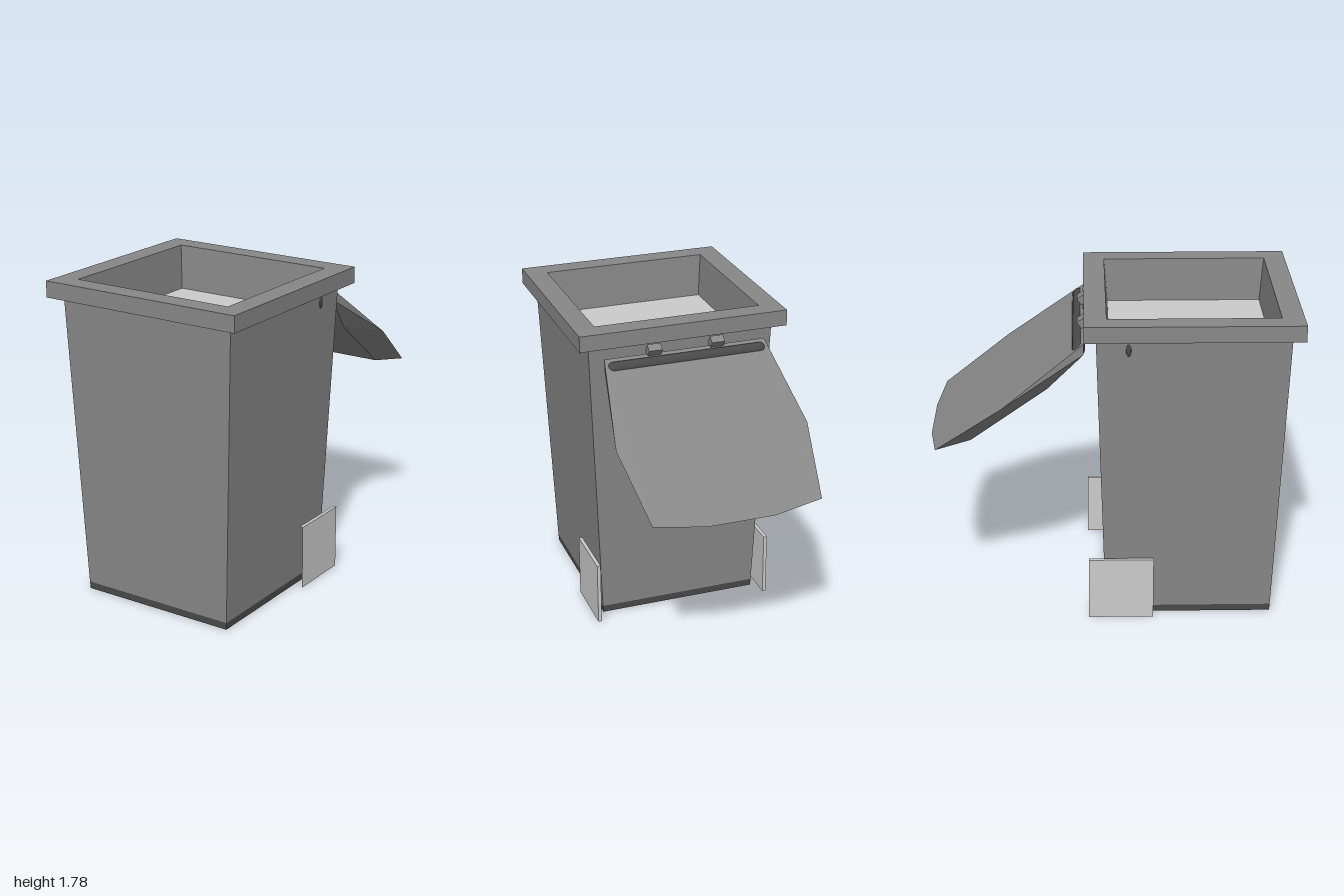
import * as THREE from 'three';
import { ConvexGeometry } from 'three/addons/geometries/ConvexGeometry.js';

const CENTRE_Z = 0.423;

// Rectangular shell: each ring is [half width, half depth, y].
function shell(rings) {
  const pos = [];
  const corner = ([hx, hz, y], k) => [
    k === 0 || k === 1 ? hx : -hx, y, CENTRE_Z + (k === 0 || k === 3 ? hz : -hz),
  ];
  for (let i = 0; i < rings.length - 1; i++) {
    for (let k = 0; k < 4; k++) {
      const n = (k + 1) % 4;
      const a = corner(rings[i], k), b = corner(rings[i], n);
      const c = corner(rings[i + 1], n), d = corner(rings[i + 1], k);
      pos.push(...a, ...b, ...c, ...a, ...c, ...d);
    }
  }
  const g = new THREE.BufferGeometry();
  g.setAttribute('position', new THREE.Float32BufferAttribute(pos, 3));
  g.computeVertexNormals();
  return g;
}

export function createModel() {
  const model = new THREE.Group();
  model.name = 'wheeledBin';
  const material = (name, color, side = THREE.FrontSide) => {
    const m = new THREE.MeshStandardMaterial({ color, side });
    m.name = name;
    return m;
  };
  const grey = material('midGrey', 0x888888);
  const dark = material('darkGrey', 0x4a4a4a);
  const light = material('lightGrey', 0xcccccc, THREE.FrontSide);
  const add = (name, geometry, mat, x = 0, y = 0, z = 0) => {
    const mesh = new THREE.Mesh(geometry, mat);
    mesh.name = name;
    mesh.position.set(x, y, z);
    model.add(mesh);
    return mesh;
  };

  // Tapered body, hollow underneath
  add('bodyWalls', shell([[0.462, 0.464, 0.04], [0.53, 0.515, 1.69]]), grey);
  add('bodyUnderside', shell([[0.48, 0.47, 1.52], [0.42, 0.422, 0.04]]), grey);
  add('baseStrip', shell([
    [0.42, 0.422, 0.04], [0.418, 0.42, 0], [0.46, 0.4625, 0], [0.462, 0.464, 0.04],
  ]), dark);

  // Rim with the shallow inner well and its pale floor
  add('rim', shell([
    [0.52, 0.505, 1.686], [0.595, 0.577, 1.686], [0.595, 0.577, 1.776],
    [0.475, 0.458, 1.776], [0.457, 0.438, 1.53],
  ]), grey);
  add('wellFloor', new THREE.BoxGeometry(0.95, 0.01, 0.92), light, 0, 1.525, CENTRE_Z);

  // Open lid hanging behind: flat inside face on top, shallow dome below
  const lidPoints = [];
  const half = [
    [0.46, 1.63, -0.155], [0.54, 1.297, -0.59], [0.47, 1.026, -0.96], [0.19, 0.997, -1.0],
    [0.46, 1.57, -0.155], [0.42, 1.36, -0.35], [0.395, 1.05, -0.77],
  ];
  for (const [x, y, z] of half) {
    lidPoints.push(new THREE.Vector3(x, y, z), new THREE.Vector3(-x, y, z));
  }
  add('lid', new ConvexGeometry(lidPoints), grey);

  // Dark handle bar sunk into the lid's hinge edge
  const bar = add('handleBar', new THREE.CapsuleGeometry(0.035, 0.84, 4, 12), dark, 0, 1.585, -0.182);
  bar.rotation.z = Math.PI / 2;

  // Wheel plates are open along their front edge
  const plate = new THREE.BoxGeometry(0.02, 0.365, 0.36);
  const faces = Array.from(plate.index.array);
  faces.splice(24, 6);
  plate.clearGroups();
  plate.setIndex(faces);

  for (const side of [-1, 1]) {
    const label = side > 0 ? 'left' : 'right';
    add(label + 'WheelPlate', plate, light, side * 0.51, 0.1825, 0.045);

    const hinge = add(label + 'Hinge', new THREE.BoxGeometry(0.075, 0.06, 0.045), grey, side * 0.18, 1.645, -0.155);
    hinge.rotation.x = -0.6;

    // Small pin end showing through the side wall
    const pin = add(label + 'PinEnd', new THREE.SphereGeometry(1, 12, 8), dark, side * 0.527, 1.62, 0.08);
    pin.scale.set(0.006, 0.035, 0.014);
  }
  return model;
}
